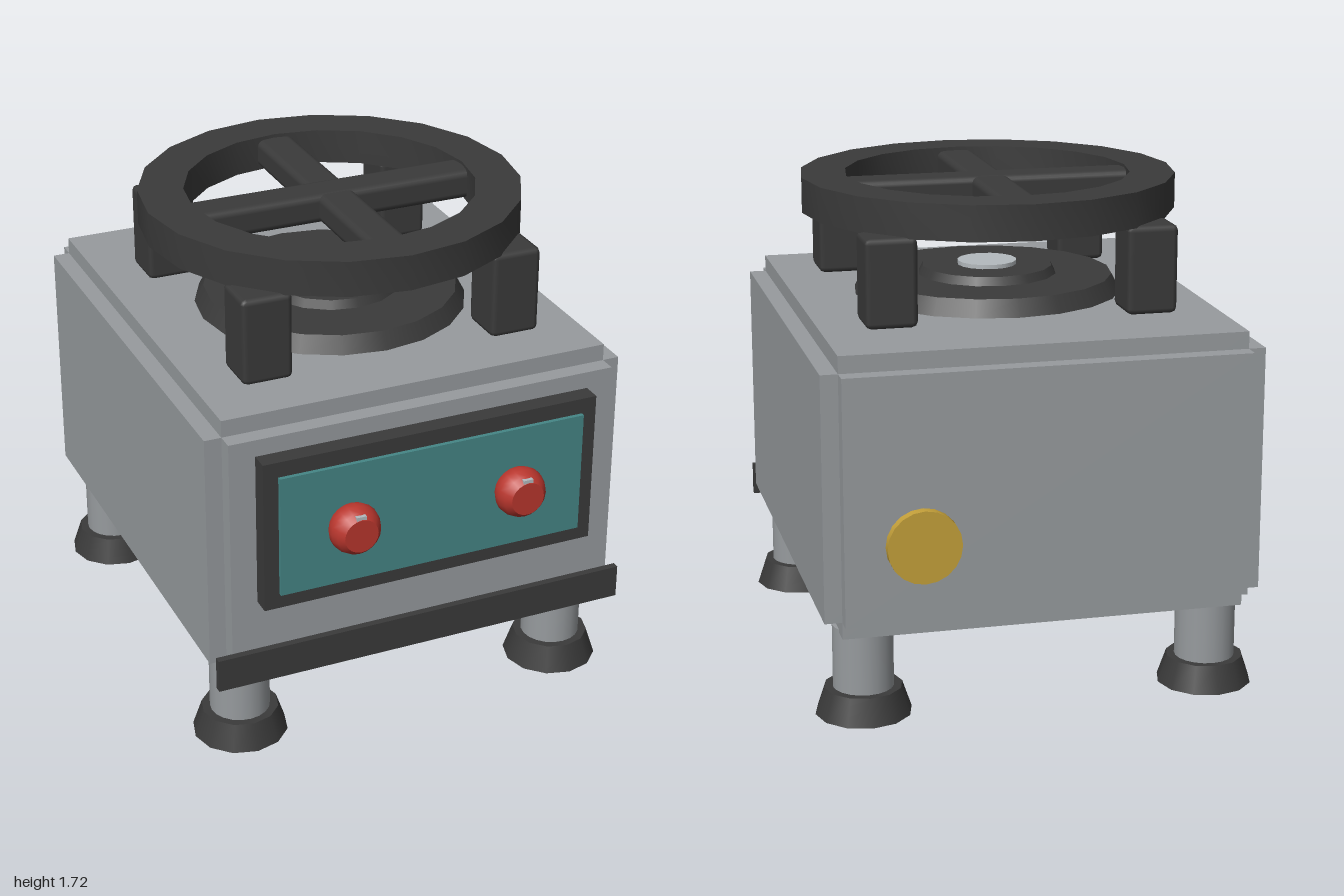
import * as THREE from 'three';
import { RoundedBoxGeometry } from 'three/addons/geometries/RoundedBoxGeometry.js';
import { toCreasedNormals } from 'three/addons/utils/BufferGeometryUtils.js';

function paint(name, color) {
  const m = new THREE.MeshStandardMaterial({ color });
  m.name = name;
  return m;
}

export function createModel() {
  const steel = paint('steel grey', 0x979b9e);
  const pale = paint('pale metal', 0xb4babe);
  const iron = paint('dark iron', 0x3a3a3a);
  const teal = paint('teal panel', 0x458686);
  const red = paint('red', 0xb9362d);
  const brass = paint('brass', 0xc4a03a);

  const root = new THREE.Group();
  root.name = 'gasStove';
  const add = (name, geo, mat, x = 0, y = 0, z = 0, parent = root) => {
    const mesh = new THREE.Mesh(geo, mat);
    mesh.name = name;
    mesh.position.set(x, y, z);
    parent.add(mesh);
    return mesh;
  };
  // box given by its min and max corners
  const box = (name, mat, [x0, y0, z0], [x1, y1, z1]) =>
    add(name, new THREE.BoxGeometry(x1 - x0, y1 - y0, z1 - z0), mat,
      (x0 + x1) / 2, (y0 + y1) / 2, (z0 + z1) / 2);
  // solid of revolution about y, smooth around and sharp at rims
  const lathe = (points, sides) => toCreasedNormals(
    new THREE.LatheGeometry(points.map(p => new THREE.Vector2(...p)), sides), 0.7);

  // body: three overlapping boxes leave a notch along every edge
  box('bodyCore', steel, [-0.70, 0.31, -0.815], [0.70, 1.285, 0.77]);
  box('bodySides', steel, [-0.76, 0.37, -0.815], [0.76, 1.225, 0.77]);
  box('bodyFrontBack', steel, [-0.70, 0.37, -0.875], [0.70, 1.225, 0.83]);
  box('frontSkirt', iron, [-0.76, 0.31, 0.83], [0.76, 0.43, 0.855]);

  // control panel
  box('panelFrame', iron, [-0.608, 0.615, 0.83], [0.608, 1.165, 0.895]);
  box('panelFace', teal, [-0.555, 0.67, 0.89], [0.555, 1.11, 0.91]);

  // control knobs with a small pointer
  const knobGeo = lathe([[0.08, 0], [0.09, 0.025], [0.088, 0.045], [0.078, 0.07], [0.06, 0.09], [0, 0.09]], 20);
  knobGeo.rotateX(Math.PI / 2);
  for (const s of [-1, 1]) {
    const knob = new THREE.Group();
    knob.name = s > 0 ? 'knobLeft' : 'knobRight';
    knob.position.set(s * 0.305, 0.888, 0.91);
    root.add(knob);
    add('knobBody', knobGeo, red, 0, 0, 0, knob);
    add('knobPointer', new THREE.BoxGeometry(0.035, 0.02, 0.03), pale, 0, 0.062, 0.074, knob);
  }

  // gas inlet at the back
  const inlet = lathe([[0, -0.02], [0.085, -0.02], [0.085, 0.09], [0.125, 0.09], [0.125, 0.125], [0, 0.125]], 20);
  inlet.rotateX(-Math.PI / 2);
  add('gasInlet', inlet, brass, 0.455, 0.675, -0.875);

  // legs with flared feet
  const legGeo = new THREE.CylinderGeometry(0.105, 0.105, 0.24, 20);
  const footGeo = new THREE.CylinderGeometry(0.135, 0.167, 0.095, 12);
  for (const x of [-0.61, 0.61]) {
    for (const z of [0.653, -0.693]) {
      add('leg', legGeo, steel, x, 0.2, z);
      add('foot', footGeo, iron, x, 0.0475, z);
    }
  }

  // burner
  const cz = 0.036;
  add('burnerBase', new THREE.CylinderGeometry(0.45, 0.482, 0.06, 20), iron, 0, 1.315, cz);
  add('burnerHead', new THREE.CylinderGeometry(0.235, 0.25, 0.03, 16), iron, 0, 1.36, cz);
  add('burnerCap', new THREE.CylinderGeometry(0.107, 0.107, 0.015, 16), pale, 0, 1.3825, cz);

  // pan support: four posts, a ring and a cross
  const postGeo = new RoundedBoxGeometry(0.18, 0.31, 0.18, 1, 0.02);
  for (const x of [-1, 1]) {
    for (const z of [-1, 1]) add('supportPost', postGeo, iron, x * 0.457, 1.44, cz + z * 0.457);
  }
  const ring = lathe([[0.51, 1.59], [0.67, 1.59], [0.67, 1.715], [0.51, 1.715], [0.51, 1.59]], 20);
  add('supportRing', ring, iron, 0, 0, cz);
  add('crossBarX', new RoundedBoxGeometry(1.1, 0.105, 0.14, 2, 0.025), iron, 0, 1.652, cz);
  add('crossBarZ', new RoundedBoxGeometry(0.14, 0.1, 1.1, 2, 0.025), iron, 0, 1.652, cz);

  return root;
}
